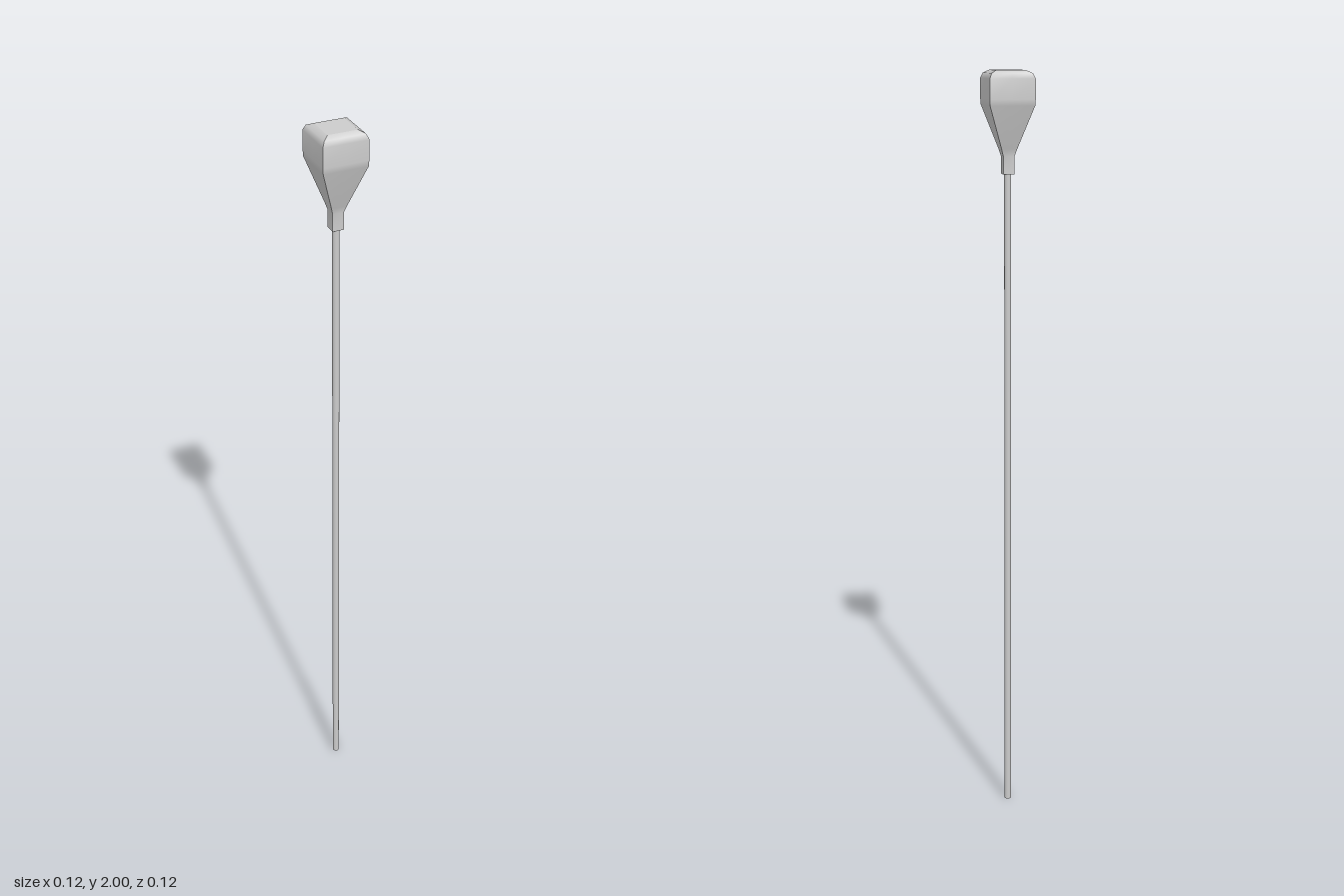
import * as THREE from 'three';
import { mergeGeometries } from 'three/addons/utils/BufferGeometryUtils.js';

// Head outline from neck to crown: [half width, height]
const PROFILE = [
  [0.0145, 1.745], [0.0145, 1.79], [0.02, 1.808], [0.057, 1.915],
  [0.058, 1.93], [0.058, 1.98], [0.052, 1.993], [0.038, 2.0],
];

// One side of the square head: smooth along its height, sharp at its corners
function sidePanel(turn) {
  const geo = new THREE.PlaneGeometry(2, 1, 2, PROFILE.length - 1);
  const pos = geo.attributes.position;
  for (let i = 0; i < pos.count; i++) {
    const row = PROFILE.length - 1 - Math.floor(i / 3);
    const [half, y] = PROFILE[row];
    pos.setXYZ(i, pos.getX(i) * half, y, half);
  }
  geo.computeVertexNormals();
  return geo.rotateY(turn * Math.PI / 2);
}

// Flat square closing the head; dir is 1 facing up, -1 facing down
function squareCap([half, y], dir) {
  return new THREE.PlaneGeometry(half * 2, half * 2)
    .rotateX(-dir * Math.PI / 2).translate(0, y, 0);
}

export function createModel() {
  const group = new THREE.Group();
  const material = new THREE.MeshStandardMaterial({ color: 0xcccccc });

  // Flared square head with its neck
  const parts = [0, 1, 2, 3].map(sidePanel);
  parts.push(squareCap(PROFILE[0], -1), squareCap(PROFILE[PROFILE.length - 1], 1));
  const head = new THREE.Mesh(mergeGeometries(parts), material);
  head.name = 'head';

  // Slender round shaft, set slightly into the neck
  const length = 1.76;
  const shaft = new THREE.Mesh(new THREE.CylinderGeometry(0.009, 0.009, length, 16), material);
  shaft.position.y = length / 2;
  shaft.name = 'shaft';

  group.add(head, shaft);
  return group;
}
